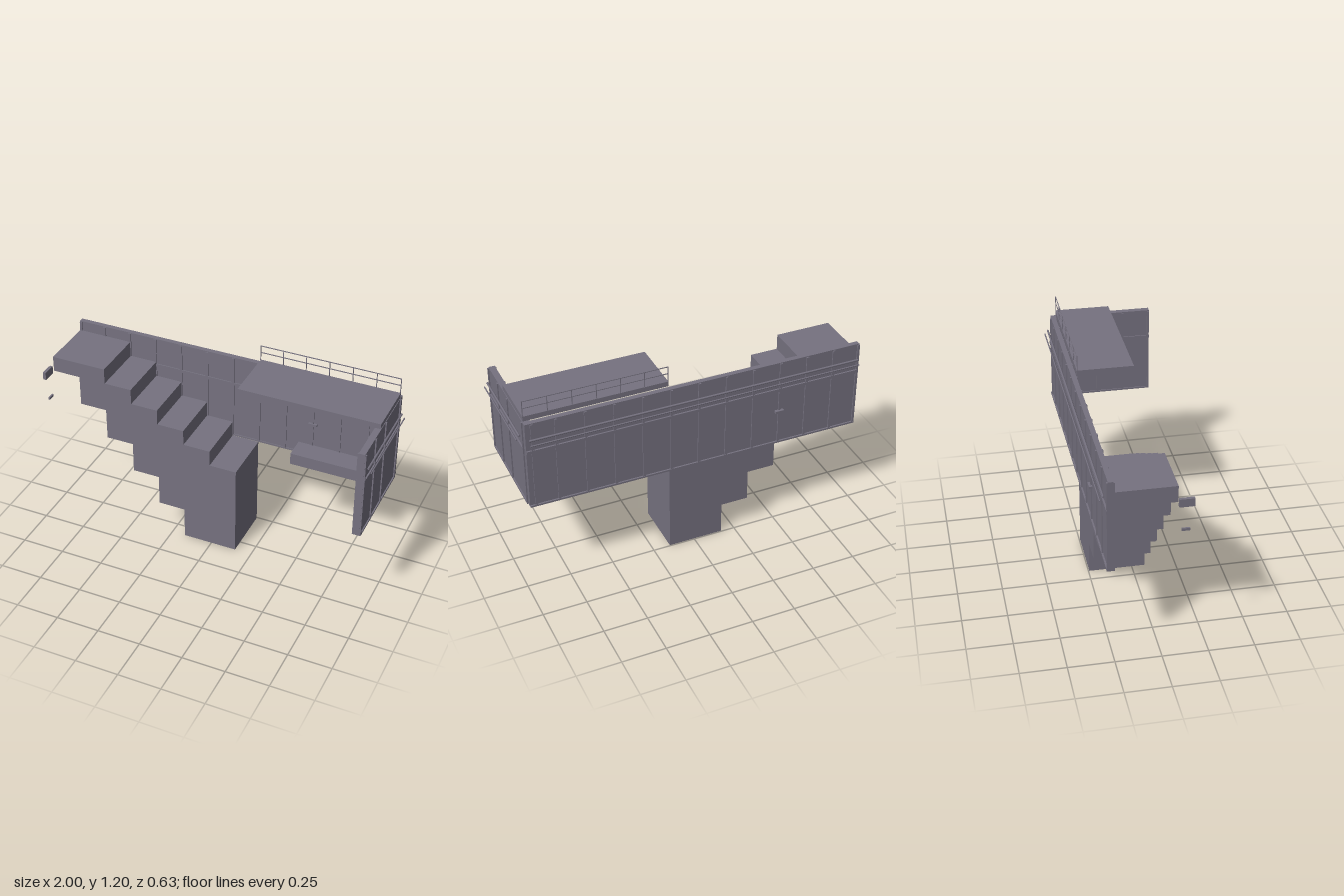
import * as THREE from 'three';

export function createModel() {
  const model = new THREE.Group();
  model.name = 'stairStructure';
  const gray = new THREE.MeshStandardMaterial({ name: 'slateGray', color: 0x767280 });

  const group = (name) => {
    const g = new THREE.Group();
    g.name = name;
    model.add(g);
    return g;
  };
  // Box given by its two opposite corners
  const box = (name, x0, x1, y0, y1, z0, z1, parent = model) => {
    const m = new THREE.Mesh(new THREE.BoxGeometry(x1 - x0, y1 - y0, z1 - z0), gray);
    m.name = name;
    m.position.set((x0 + x1) / 2, (y0 + y1) / 2, (z0 + z1) / 2);
    parent.add(m);
    return m;
  };
  // Straight round bar between two points
  const bar = (name, a, b, r, parent) => {
    const p = new THREE.Vector3(...a), q = new THREE.Vector3(...b);
    const m = new THREE.Mesh(new THREE.CylinderGeometry(r, r, p.distanceTo(q), 8), gray);
    m.name = name;
    m.position.copy(p).add(q).multiplyScalar(0.5);
    m.quaternion.setFromUnitVectors(new THREE.Vector3(0, 1, 0), q.sub(p).normalize());
    parent.add(m);
  };

  // Solid staircase, stepped above and below
  const outline = [
    [-0.17, 0], [0.15, 0], [0.15, 0.555], [-0.01, 0.555], [-0.01, 0.65],
    [-0.17, 0.65], [-0.17, 0.743], [-0.33, 0.743], [-0.33, 0.835], [-0.49, 0.835],
    [-0.49, 0.928], [-0.652, 0.928], [-0.652, 1.02], [-0.975, 1.02], [-0.975, 0.928],
    [-0.812, 0.928], [-0.812, 0.748], [-0.652, 0.748], [-0.652, 0.56], [-0.49, 0.56],
    [-0.49, 0.375], [-0.33, 0.375], [-0.33, 0.19], [-0.17, 0.19],
  ];
  const shape = new THREE.Shape(outline.map(([x, y]) => new THREE.Vector2(x, y)));
  const stairs = new THREE.Mesh(
    new THREE.ExtrudeGeometry(shape, { depth: 0.32, bevelEnabled: false }), gray);
  stairs.name = 'staircase';
  stairs.position.z = -0.245;
  model.add(stairs);

  // Back wall with battens and rails on both faces
  const back = group('backWall');
  box('backPanel', -0.975, 0.96, 0.56, 1.08, -0.276, -0.248, back);
  const seams = [-0.968];
  for (let i = 0; i < 11; i++) seams.push(-0.815 + i * 0.161);
  seams.push(0.925);
  for (const x of seams) {
    box('backBatten', x - 0.007, x + 0.007, 0.565, 1.075, -0.283, -0.242, back);
  }
  box('backBand', -0.975, 0.96, 0.9, 0.917, -0.285, -0.242, back);
  box('backBaseRail', -0.975, 0.96, 0.558, 0.568, -0.285, -0.243, back);

  // Side wall
  const side = group('sideWall');
  box('sidePanel', 0.925, 0.96, 0.56, 1.08, -0.248, 0.318, side);
  for (const z of [-0.238, -0.003, 0.155, 0.311]) {
    box('sideBatten', 0.919, 0.967, 0.565, 1.075, z - 0.006, z + 0.006, side);
  }
  box('sideBand', 0.919, 0.968, 0.9, 0.917, -0.245, 0.318, side);
  box('sideBaseRail', 0.919, 0.967, 0.558, 0.568, -0.245, 0.318, side);

  // Pipes running along the outside of both walls
  const pipes = group('pipes');
  bar('backPipe', [-0.96, 0.99, -0.296], [0.945, 0.99, -0.296], 0.006, pipes);
  bar('backThinPipe', [-0.96, 0.968, -0.313], [0.945, 0.968, -0.313], 0.004, pipes);
  bar('sidePipe', [0.977, 0.99, -0.232], [0.977, 0.99, 0.305], 0.006, pipes);
  bar('sideThinPipe', [0.994, 0.968, -0.232], [0.994, 0.968, 0.305], 0.004, pipes);

  // Roof slab with railing along the back edge
  box('roof', 0.155, 0.958, 1.083, 1.112, -0.245, 0.075);
  const railing = group('railing');
  for (let i = 0; i < 7; i++) {
    const x = 0.155 + i * 0.1335;
    box('railingPost', x - 0.002, x + 0.002, 1.11, 1.203, -0.244, -0.24, railing);
  }
  for (const y of [1.16, 1.201]) {
    box('railingBar', 0.153, 0.958, y - 0.002, y + 0.002, -0.244, -0.24, railing);
  }

  // Bench against the wall
  box('bench', 0.395, 0.8, 0.56, 0.63, -0.245, -0.12);

  // Small fixtures on the walls
  const fixtures = group('fixtures');
  for (const x of [0.435, 0.515]) {
    box('frontBracket', x - 0.002, x + 0.002, 0.92, 0.955, -0.248, -0.235, fixtures);
  }
  box('frontHandle', 0.45, 0.5, 0.763, 0.777, -0.248, -0.235, fixtures);
  box('backHandle', -0.515, -0.465, 0.763, 0.777, -0.295, -0.276, fixtures);
  box('endLamp', -1, -0.982, 0.91, 0.955, 0.075, 0.155, fixtures);
  box('endHandle', -0.99, -0.98, 0.764, 0.778, 0.092, 0.135, fixtures);

  return model;
}
